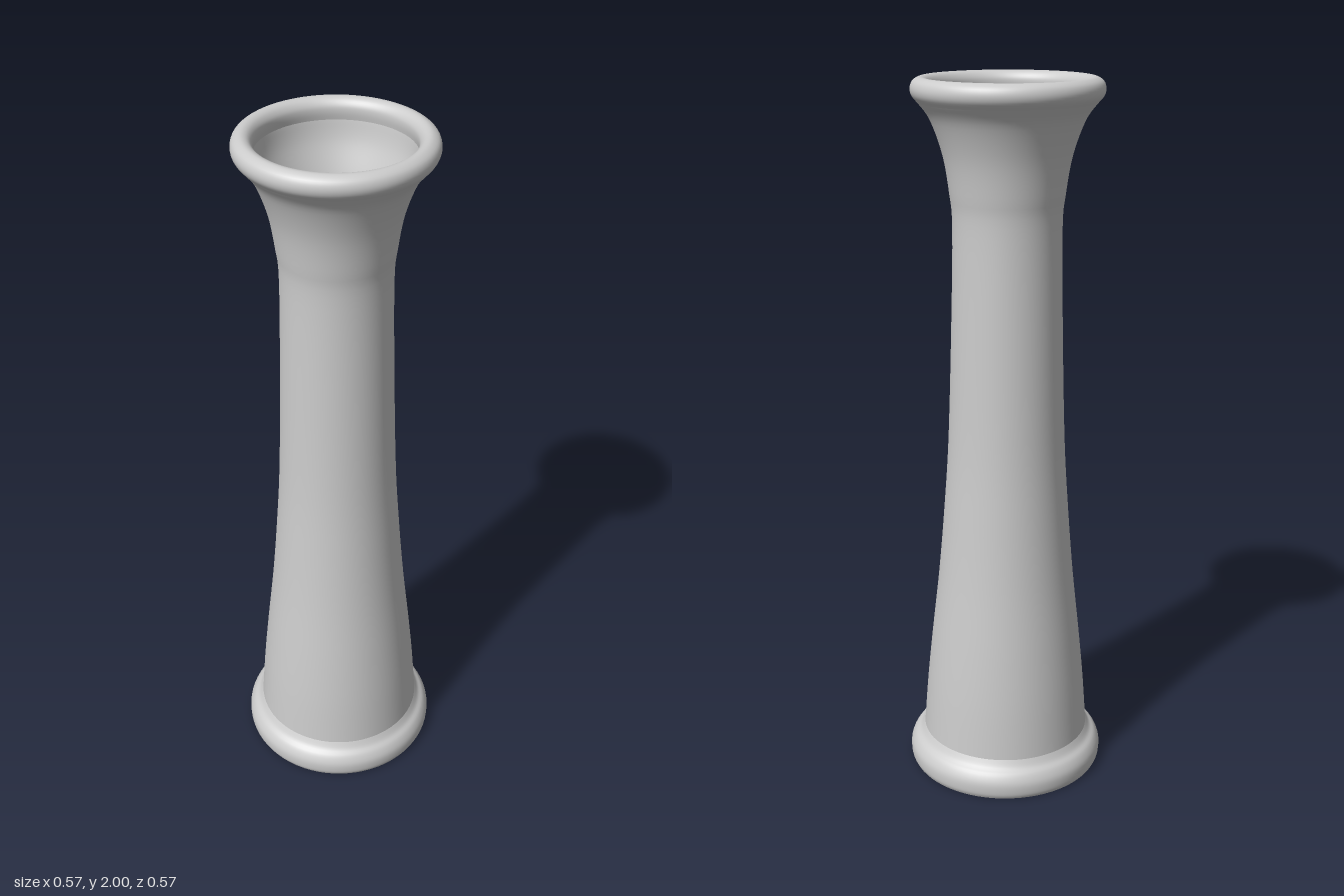
import * as THREE from 'three';

const material = new THREE.MeshStandardMaterial({ color: 0xcccccc });
const SEGMENTS = 72;

// Smooth curve through [radius, height] points
const smooth = (points, count) =>
  new THREE.SplineCurve(points.map(([r, y]) => new THREE.Vector2(r, y))).getPoints(count);

// Lathe a profile, leaning it very slightly towards the top
function turned(name, profile) {
  const geometry = new THREE.LatheGeometry(profile, SEGMENTS);
  const p = geometry.attributes.position;
  for (let i = 0; i < p.count; i++) {
    const t = p.getY(i) / 2;
    p.setX(i, p.getX(i) - 0.005 * t);
    p.setZ(i, p.getZ(i) + 0.007 * t);
  }
  const mesh = new THREE.Mesh(geometry, material);
  mesh.name = name;
  return mesh;
}

export function createModel() {
  const group = new THREE.Group();
  group.name = 'vase';

  // Rounded foot ring
  group.add(turned('foot', smooth([
    [0.278, 0], [0.284, 0.015], [0.284, 0.045], [0.272, 0.07],
    [0.255, 0.085], [0.243, 0.105],
  ], 20)));

  // Tapering body flaring into the mouth
  group.add(turned('body', smooth([
    [0.243, 0.105], [0.232, 0.25], [0.217, 0.4], [0.195, 0.6], [0.178, 0.8],
    [0.165, 1.0], [0.155, 1.3], [0.149, 1.6], [0.157, 1.7], [0.174, 1.8],
    [0.206, 1.89], [0.238, 1.935],
  ], 60)));

  // Rolled lip, slightly undercut inside
  group.add(turned('lip', smooth([
    [0.238, 1.935], [0.253, 1.953], [0.257, 1.972], [0.25, 1.99], [0.232, 2.0],
    [0.215, 1.996], [0.204, 1.982], [0.202, 1.965], [0.205, 1.945],
  ], 32)));

  // Hollow inside with a rounded floor
  group.add(turned('inside', smooth([
    [0.205, 1.945], [0.195, 1.89], [0.165, 1.8], [0.143, 1.7], [0.13, 1.6],
    [0.129, 1.2], [0.128, 0.7], [0.127, 0.2], [0.12, 0.125], [0.1, 0.102], [0, 0.1],
  ], 70)));

  // Flat underside
  const base = new THREE.Mesh(new THREE.CircleGeometry(0.278, SEGMENTS), material);
  base.rotation.x = Math.PI / 2;
  base.name = 'underside';
  group.add(base);

  return group;
}
